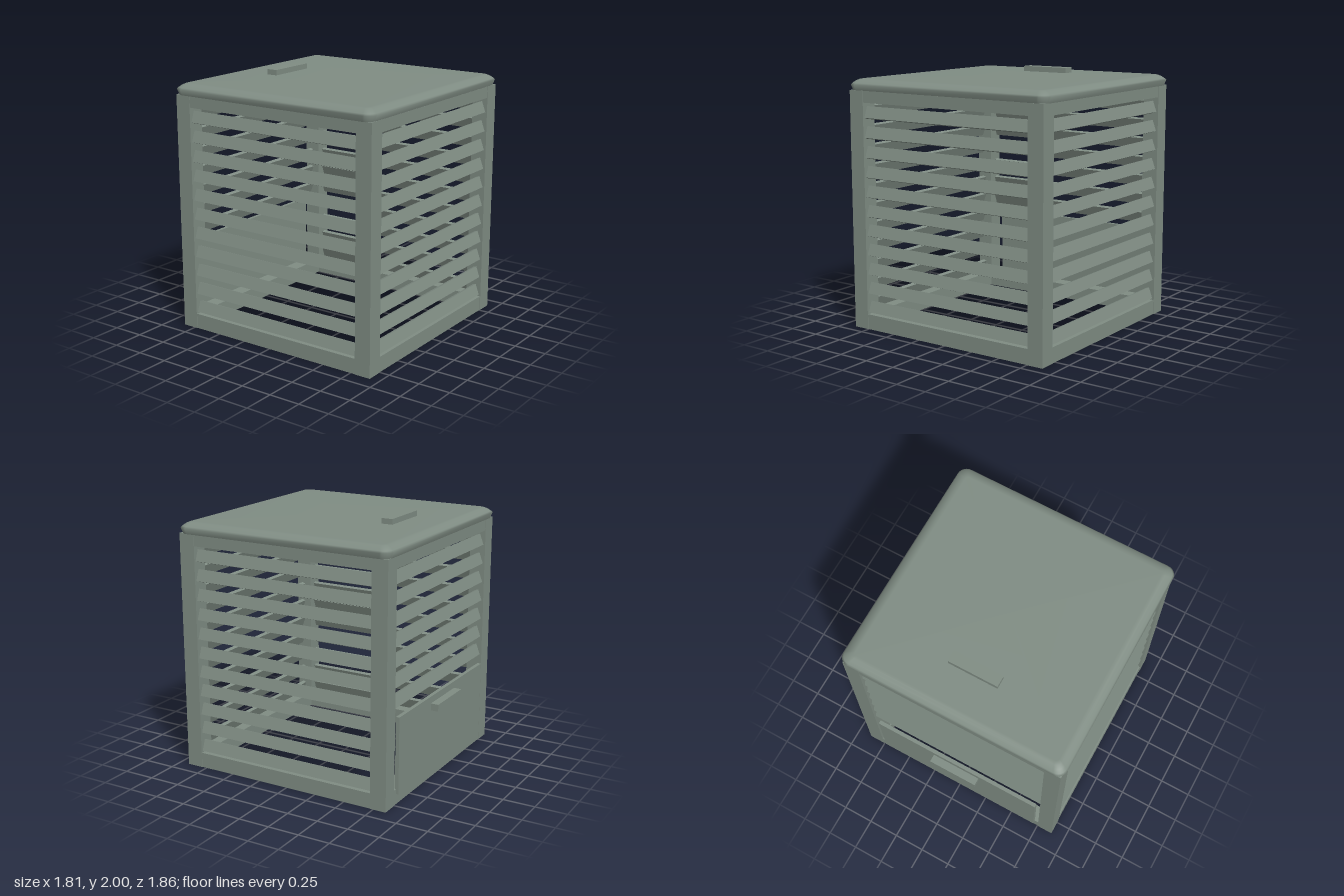
import * as THREE from 'three';

const BODY_Z = 0.0325; // body centre in z (the back door handle sticks out behind)
const HALF_X = 0.885, HALF_Z = 0.8875, POST = 0.13;
const SLAT_PITCH = 0.153;

const greyGreen = new THREE.MeshStandardMaterial({ color: 0x7f8c83 });
greyGreen.name = 'greyGreen';

function box(name, w, h, d, x, y, z) {
  const mesh = new THREE.Mesh(new THREE.BoxGeometry(w, h, d), greyGreen);
  mesh.name = name;
  mesh.position.set(x, y, z);
  return mesh;
}

// Outline of a rounded rectangle, counter-clockwise seen from above
function roundedRing(hx, hz, r, y, steps = 6) {
  const pts = [];
  [[1, 1], [1, -1], [-1, -1], [-1, 1]].forEach(([sx, sz], q) => {
    for (let i = 0; i <= steps; i++) {
      const a = -q * Math.PI / 2 + (1 - i / steps) * Math.PI / 2;
      pts.push([sx * (hx - r) + r * Math.cos(a), y, sz * (hz - r) + r * Math.sin(a)]);
    }
  });
  return pts;
}

// Lid: stacked rounded rectangles with a soft upper edge and a flat underside
function lidGeometry() {
  const profile = [[0.015, 1.868], [0, 1.912], [0.012, 1.925], [0.035, 1.942], [0.06, 1.953], [0.085, 1.957]];
  const rings = profile.map(([inset, y]) => roundedRing(0.905 - inset, 0.9 - inset, 0.075 - inset * 0.6, y));
  const n = rings[0].length;
  const pos = rings.flat(2);
  const index = [];
  for (let k = 0; k < rings.length - 1; k++) {
    for (let i = 0; i < n; i++) {
      const j = (i + 1) % n;
      const a = k * n + i, b = k * n + j, c = a + n, d = b + n;
      index.push(a, b, d, a, d, c);
    }
  }
  const top = pos.length / 3;
  pos.push(0, 1.96, 0);
  const under = top + 1;
  pos.push(...rings[0].flat(), 0, 1.868, 0);
  const last = (rings.length - 1) * n;
  for (let i = 0; i < n; i++) {
    const j = (i + 1) % n;
    index.push(last + i, last + j, top);
    index.push(under + j, under + i, under + n);
  }
  const geo = new THREE.BufferGeometry();
  geo.setAttribute('position', new THREE.Float32BufferAttribute(pos, 3));
  geo.setIndex(index);
  geo.computeVertexNormals();
  return geo;
}

// One wall facing +z: bottom and top rails with tilted slats between
function wall(name, half, span, firstSlat) {
  const g = new THREE.Group();
  g.name = name;
  const railZ = half - 0.004 - 0.0625;
  g.add(box('bottomRail', span, 0.12, 0.125, 0, 0.06, railZ));
  g.add(box('topRail', span, 0.09, 0.125, 0, 1.825, railZ));
  for (let i = firstSlat; i < 11; i++) {
    const slat = box('slat', span, 0.093, 0.03, 0, 0.172 + i * SLAT_PITCH, half - 0.045);
    slat.rotation.x = -0.35;
    g.add(slat);
  }
  return g;
}

export function createModel() {
  const model = new THREE.Group();
  model.name = 'slattedBin';

  const body = new THREE.Group();
  body.name = 'body';
  body.position.z = BODY_Z;
  model.add(body);

  // Corner posts
  for (const sx of [-1, 1]) for (const sz of [-1, 1]) {
    body.add(box('cornerPost', POST, 1.87, POST,
      sx * (HALF_X - POST / 2), 0.935, sz * (HALF_Z - POST / 2)));
  }

  // Four walls; the back one leaves room for the door
  ['frontWall', 'leftWall', 'backWall', 'rightWall'].forEach((name, i) => {
    const half = i % 2 ? HALF_X : HALF_Z;
    const span = 2 * ((i % 2 ? HALF_Z : HALF_X) - POST);
    const w = wall(name, half, span, name === 'backWall' ? 4 : 0);
    w.rotation.y = i * Math.PI / 2;
    body.add(w);
  });

  // Back door with its handle
  model.add(box('door', 1.435, 0.6, 0.03, 0, 0.38, -0.855));
  model.add(box('doorHandle', 0.41, 0.055, 0.065, 0, 0.598, -0.8995));

  // Lid with its handle
  const lid = new THREE.Mesh(lidGeometry(), greyGreen);
  lid.name = 'lid';
  lid.position.z = 0.03;
  model.add(lid);
  model.add(box('lidHandle', 0.4, 0.046, 0.09, 0, 1.977, -0.475));

  return model;
}
